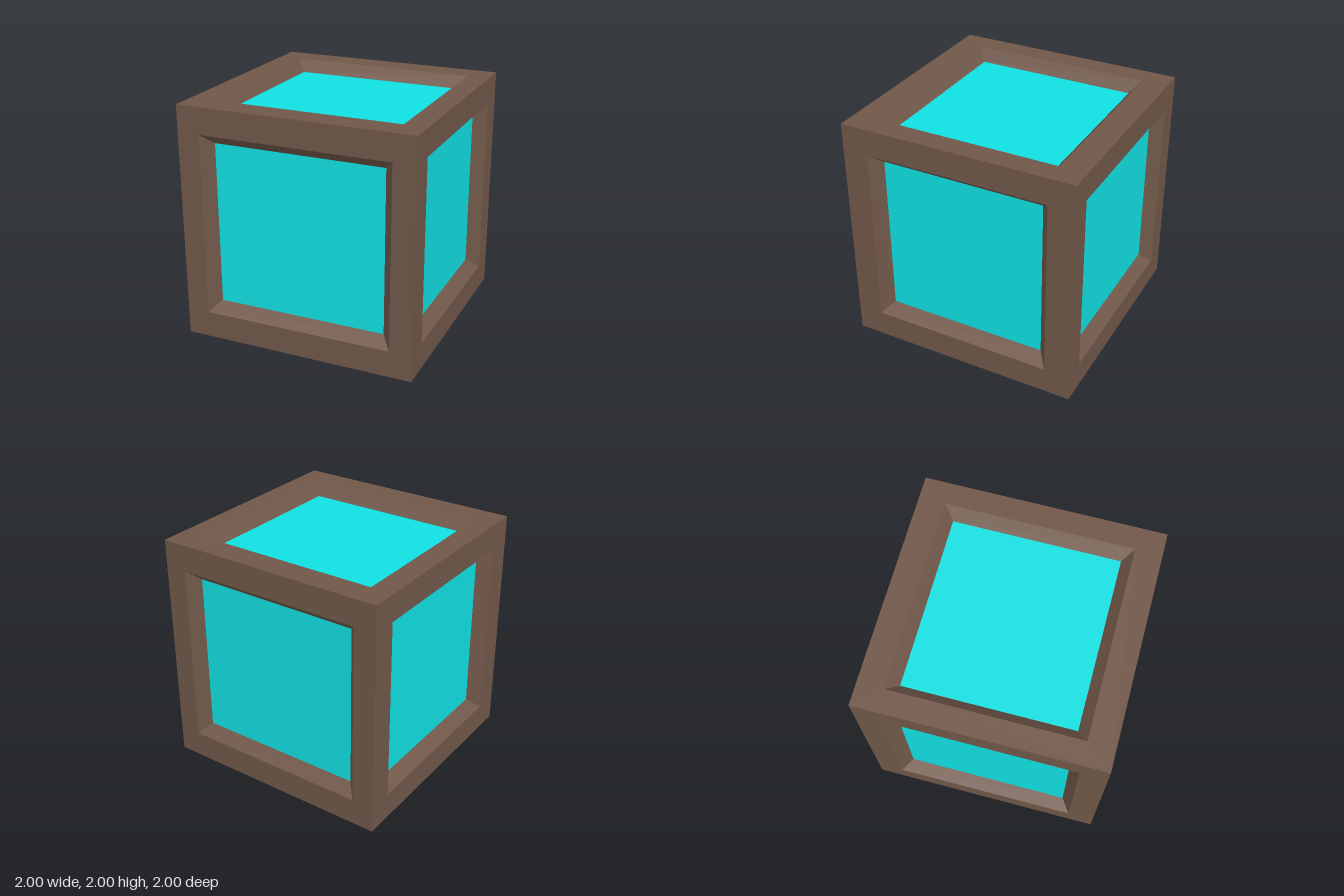
import * as THREE from 'three';

const brown = new THREE.MeshStandardMaterial({ color: 0x705749, flatShading: true });
const teal = new THREE.MeshStandardMaterial({ color: 0x10dfe1, flatShading: true });

// corners of a rectangle with half sizes a, b, counter-clockwise
const corners = ([a, b]) => [[-a, -b], [a, -b], [a, b], [-a, b]].map(([x, y]) => new THREE.Vector2(x, y));

// sloped reveal between the opening (z = 1) and the recessed panel (z = 1 - depth)
function revealGeometry(outer, inner, depth) {
  const o = corners(outer), n = corners(inner), pos = [];
  for (let i = 0; i < 4; i++) {
    const j = (i + 1) % 4;
    const a = [o[i].x, o[i].y, 1], b = [o[j].x, o[j].y, 1];
    const c = [n[j].x, n[j].y, 1 - depth], d = [n[i].x, n[i].y, 1 - depth];
    pos.push(...a, ...b, ...c, ...a, ...c, ...d);
  }
  const g = new THREE.BufferGeometry();
  g.setAttribute('position', new THREE.Float32BufferAttribute(pos, 3));
  g.computeVertexNormals();
  return g;
}

// one cube side, built facing +z
function makeSide(name, outer, inner, depth) {
  const side = new THREE.Group();
  side.name = name;

  const shape = new THREE.Shape(corners([1, 1]));
  shape.holes.push(new THREE.Path(corners(outer).reverse()));
  const frame = new THREE.Mesh(new THREE.ShapeGeometry(shape), brown);
  frame.position.z = 1;
  frame.name = 'frame';

  const reveal = new THREE.Mesh(revealGeometry(outer, inner, depth), brown);
  reveal.name = 'slopedReveal';

  const panel = new THREE.Mesh(new THREE.PlaneGeometry(2 * inner[0], 2 * inner[1]), teal);
  panel.position.z = 1 - depth;
  panel.name = 'panel';

  side.add(frame, reveal, panel);
  return side;
}

export function createModel() {
  const model = new THREE.Group();
  model.name = 'framedCube';
  const cube = new THREE.Group();
  cube.name = 'cube';
  cube.position.y = 1;
  model.add(cube);

  const q = Math.PI / 2;
  // name, x rotation, y rotation, opening half size, panel half size, depth
  const sides = [
    ['frontSide', 0, 0, [0.81, 0.775], [0.725, 0.69], 0.1],
    ['backSide', 0, 2 * q, [0.81, 0.775], [0.725, 0.69], 0.1],
    ['leftSide', 0, q, [0.78, 0.775], [0.695, 0.69], 0.105],
    ['rightSide', 0, -q, [0.78, 0.775], [0.695, 0.69], 0.105],
    ['topSide', -q, 0, [0.81, 0.78], [0.725, 0.695], 0.1],
    ['bottomSide', q, 0, [0.81, 0.78], [0.725, 0.695], 0.1],
  ];
  for (const [name, rx, ry, outer, inner, depth] of sides) {
    const side = makeSide(name, outer, inner, depth);
    side.rotation.set(rx, ry, 0);
    cube.add(side);
  }
  return model;
}
